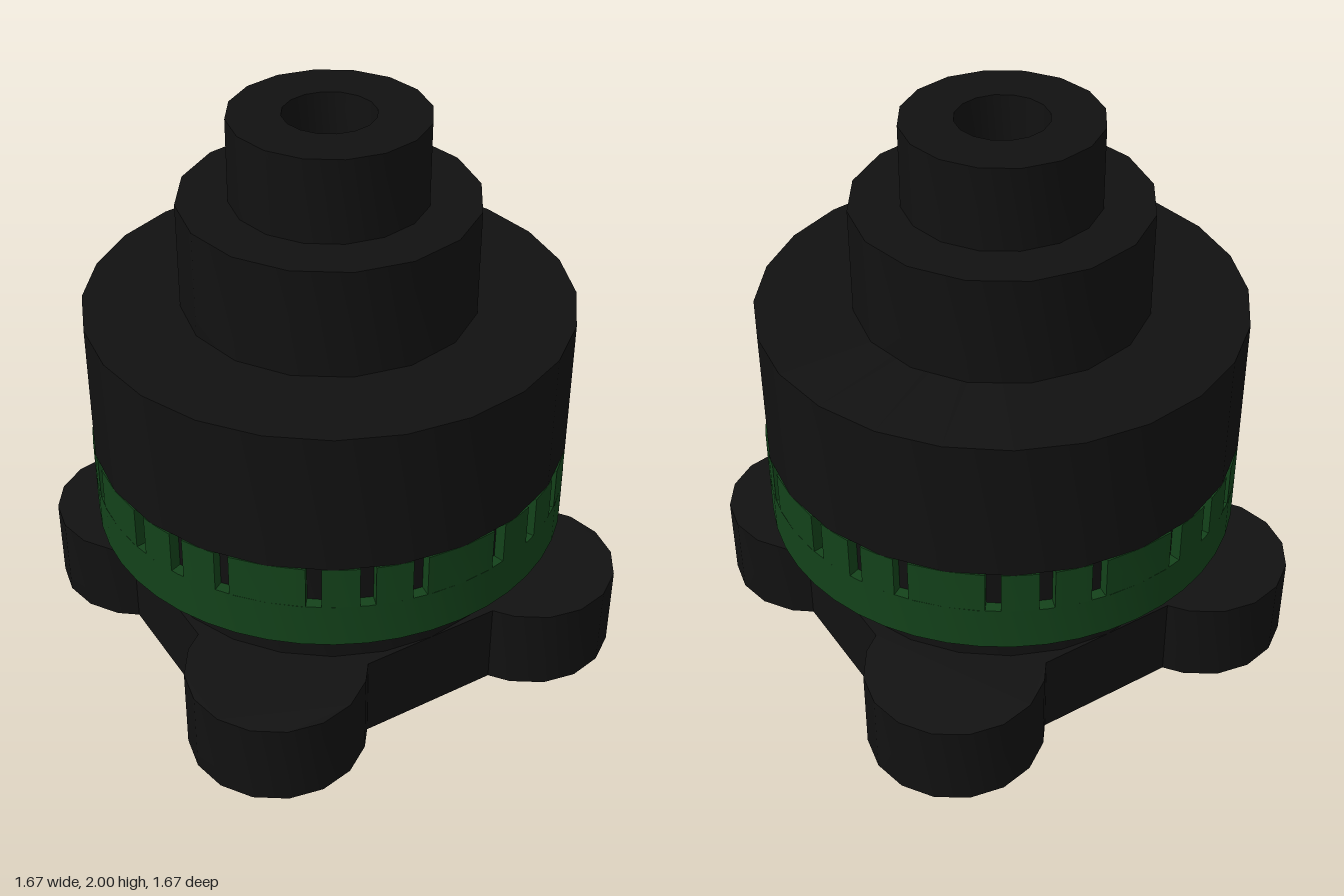
import * as THREE from 'three';
import { toCreasedNormals } from 'three/addons/utils/BufferGeometryUtils.js';

const black = new THREE.MeshStandardMaterial({ color: 0x111111 });
const green = new THREE.MeshStandardMaterial({ color: 0x13421a });
const rad = THREE.MathUtils.degToRad;

function add(group, name, geometry, material) {
  const mesh = new THREE.Mesh(toCreasedNormals(geometry, 0.6), material);
  mesh.name = name;
  group.add(mesh);
}

// Turned part from a counter-clockwise profile of [radius, y]
function turned(profile, sides) {
  return new THREE.LatheGeometry(profile.map(([r, y]) => new THREE.Vector2(r, y)), sides);
}

function tube(inner, outer, y0, y1, sides) {
  return turned([[inner, y0], [outer, y0], [outer, y1], [inner, y1], [inner, y0]], sides);
}

// Flat outline (x, -z) raised from y0 to y1
function raised(shape, y0, y1) {
  return new THREE.ExtrudeGeometry(shape, { depth: y1 - y0, bevelEnabled: false, curveSegments: 24 })
    .rotateX(-Math.PI / 2).translate(0, y0, 0);
}

// Square plate with a round lobe at each corner and a central bore
function flangeShape(bore) {
  const points = [];
  const lobeAngles = [-60, -45, -22.5, 0, 22.5, 45, 67.5, 90, 112.5, 135, 150];
  for (let corner = 0; corner < 4; corner++) {
    const turn = corner * Math.PI / 2;
    for (const a of lobeAngles) {
      const p = new THREE.Vector2(0.525 + 0.31 * Math.cos(rad(a)), 0.525 + 0.31 * Math.sin(rad(a)));
      points.push(p.rotateAround(new THREE.Vector2(), turn));
    }
  }
  const shape = new THREE.Shape(points);
  shape.holes.push(new THREE.Path().absarc(0, 0, bore, 0, Math.PI * 2, true));
  return shape;
}

// Curved tooth of the collar between two angles in degrees
function toothShape(inner, outer, from, to) {
  const steps = Math.max(2, Math.round((to - from) / 7.5));
  const arc = (r) => Array.from({ length: steps + 1 }, (_, i) => {
    const a = rad(from + (to - from) * i / steps);
    return new THREE.Vector2(r * Math.cos(a), r * Math.sin(a));
  });
  return new THREE.Shape([...arc(outer), ...arc(inner).reverse()]);
}

export function createModel() {
  const model = new THREE.Group();
  model.name = 'steppedCoupling';
  const bore = 0.43, hole = 0.155, R = 0.835, core = 0.8;

  // Mounting flange and the neck above it, closed at the top of the bore
  add(model, 'flange', raised(flangeShape(bore), 0, 0.31), black);
  add(model, 'neck', turned([[0, 0.43], [bore, 0.43], [bore, 0.31], [0.68, 0.31], [0.68, 0.51], [0, 0.51]], 24), black);

  // Drum with a narrower core behind the collar
  add(model, 'drum', turned([
    [hole, 0.515], [core, 0.515], [core, 0.825], [R, 0.825], [R, 1.33], [hole, 1.33], [hole, 0.515],
  ], 24), black);

  // Stepped spigot with a through hole
  add(model, 'lowerStep', tube(hole, 0.505, 1.33, 1.71, 16), black);
  add(model, 'upperStep', tube(hole, 0.333, 1.71, 2, 16), black);

  // Core seen at the bottom of the hole
  add(model, 'innerCore', new THREE.CylinderGeometry(hole, hole, 0.3, 16).translate(0, 0.675, 0), green);

  // Slotted collar: solid band below, teeth above, slots in eight groups of three
  const collar = new THREE.Group();
  collar.name = 'collar';
  add(collar, 'collarBand', tube(0.68, R, 0.51, 0.67, 48), green);
  const slots = [];
  for (let g = 0; g < 8; g++) for (const offset of [-12, 0, 12]) slots.push(22.5 + g * 45 + offset);
  const half = 1.75;
  slots.forEach((slot, i) => {
    const next = i + 1 < slots.length ? slots[i + 1] : slots[0] + 360;
    add(collar, 'collarTooth', raised(toothShape(core - 0.02, R, slot + half, next - half), 0.67, 0.825), green);
  });
  model.add(collar);
  return model;
}
